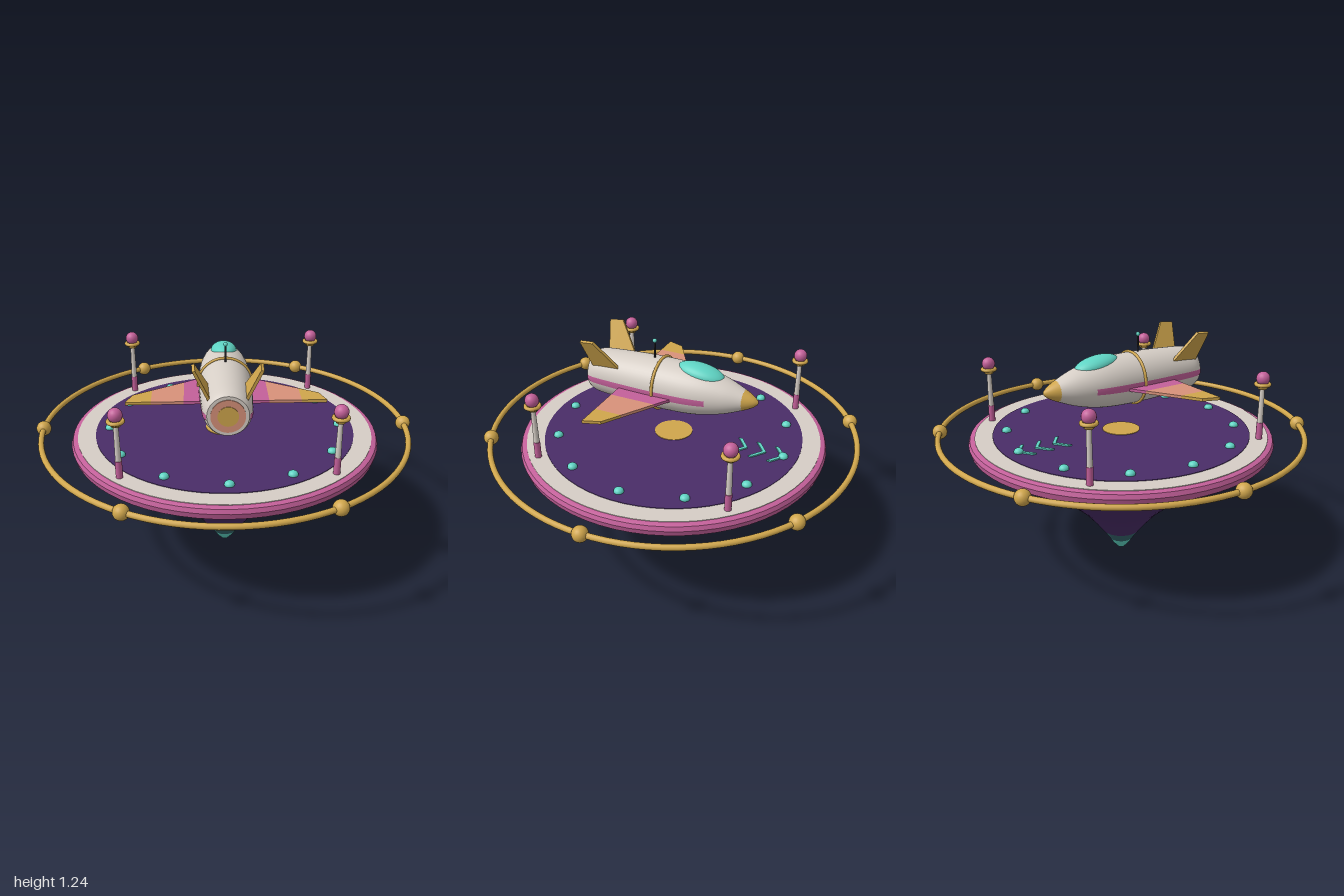
import * as THREE from 'three';
import { toCreasedNormals } from 'three/addons/utils/BufferGeometryUtils.js';

const mat = (name, color, side = THREE.FrontSide) => {
  const m = new THREE.MeshStandardMaterial({ color, side });
  m.name = name;
  return m;
};

export function createModel() {
  const purple = mat('purple', 0x4a2d68);
  const cream = mat('cream', 0xd6cec6);
  const pink = mat('pink', 0xc4609a);
  const gold = mat('gold', 0xd0a64c);
  const peach = mat('peach', 0xd8927a);
  const teal = mat('teal', 0x5fd4c4);
  const darkTeal = mat('dark teal', 0x35646c);
  const dark = mat('dark grey', 0x2c2a32);

  const root = new THREE.Group();
  root.name = 'rocketPlatform';
  const add = (parent, name, geometry, material, x = 0, y = 0, z = 0) => {
    const mesh = new THREE.Mesh(geometry, material);
    mesh.name = name;
    mesh.position.set(x, y, z);
    parent.add(mesh);
    return mesh;
  };
  const group = (name) => {
    const g = new THREE.Group();
    g.name = name;
    root.add(g);
    return g;
  };
  const lathe = (pts, seg = 64, start = 0, len = Math.PI * 2) =>
    new THREE.LatheGeometry(pts.map(([r, y]) => new THREE.Vector2(r, y)), seg, start, len);
  const disc = (r, h) => new THREE.CylinderGeometry(r, r, h, 64);
  const ball = (r) => new THREE.SphereGeometry(r, 20, 14);
  const polygon = (pts) => new THREE.Shape(pts.map(([x, y]) => new THREE.Vector2(x, y)));
  const extrude = (pts, depth) =>
    new THREE.ExtrudeGeometry(polygon(pts), { depth, bevelEnabled: false }).translate(0, 0, -depth / 2);

  // Floating base: pointed tip, flared cone and rim
  const base = group('base');
  add(base, 'tip', lathe([[0, 0], [0.02, 0.012], [0.045, 0.04], [0.066, 0.072]]), teal);
  add(base, 'tipBand', lathe([[0.066, 0.072], [0.106, 0.128]]), darkTeal);
  add(base, 'cone', lathe([[0.106, 0.128], [0.155, 0.19], [0.22, 0.265], [0.3, 0.335], [0.39, 0.408],
    [0.47, 0.465], [0.56, 0.522], [0.66, 0.578], [0.75, 0.625]]), purple);
  add(base, 'rim', toCreasedNormals(lathe([[0.74, 0.623], [0.8, 0.66], [0.808, 0.69], [0.8, 0.712],
    [0.785, 0.718], [0, 0.718]]), 0.5), pink);

  // Deck layers and landing spot
  const deck = group('deck');
  add(deck, 'deckBorder', disc(0.775, 0.006), cream, 0, 0.718, 0);
  add(deck, 'deckFloor', disc(0.682, 0.006), purple, 0, 0.721, 0);
  add(deck, 'landingSpot', disc(0.1, 0.006), gold, 0, 0.724, 0);
  for (let i = 0; i < 12; i++) {
    const a = (i * Math.PI) / 6;
    add(deck, 'deckLight', ball(0.025).scale(1, 0.8, 1), teal, Math.sin(a) * 0.61, 0.728, Math.cos(a) * 0.61);
  }
  for (let i = 0; i < 3; i++) {
    const z = -0.62 + i * 0.1;
    const chevron = extrude([[0, z], [0.07, z + 0.053], [0.07, z + 0.073], [0, z + 0.02],
      [-0.07, z + 0.073], [-0.07, z + 0.053]], 0.009);
    add(deck, 'chevron', chevron.rotateX(Math.PI / 2), teal, 0, 0.727, 0);
  }

  // Outer ring with beads
  const ring = group('outerRing');
  add(ring, 'ringTube', new THREE.TorusGeometry(0.96, 0.015, 12, 96).rotateX(Math.PI / 2), gold, 0, 0.73, 0);
  for (let i = 0; i < 6; i++) {
    const a = (i * Math.PI) / 3;
    add(ring, 'ringBead', ball(0.039), gold, Math.cos(a) * 0.96, 0.73, Math.sin(a) * 0.96);
  }

  // Four lamp posts
  for (const x of [-0.515, 0.515]) {
    for (const z of [-0.515, 0.515]) {
      const post = group('lampPost');
      post.position.set(x, 0, z);
      add(post, 'postBase', new THREE.CylinderGeometry(0.017, 0.017, 0.09, 16), pink, 0, 0.765, 0);
      add(post, 'postPole', new THREE.CylinderGeometry(0.012, 0.015, 0.2, 16), cream, 0, 0.905, 0);
      add(post, 'lampCup', new THREE.CylinderGeometry(0.036, 0.022, 0.026, 24), gold, 0, 1.003, 0);
      add(post, 'lampCollar', new THREE.TorusGeometry(0.034, 0.01, 10, 28).rotateX(Math.PI / 2), gold, 0, 1.014, 0);
      add(post, 'lampBall', ball(0.035), pink, 0, 1.045, 0);
    }
  }

  // Rocket, nose toward -z; the lathe axis is turned to lie along z
  const rocket = group('rocket');
  rocket.position.y = 1.0;
  const outline = new THREE.SplineCurve([[0.1, -0.452], [0.117, -0.41], [0.126, -0.3], [0.133, -0.15],
    [0.134, -0.03], [0.129, 0.1], [0.115, 0.2], [0.088, 0.3], [0.053, 0.388]]
    .map(([r, y]) => new THREE.Vector2(r, y))).getPoints(48).map((p) => [p.x, p.y]);
  const alongZ = (geometry) => geometry.rotateX(-Math.PI / 2);
  add(rocket, 'fuselage', alongZ(lathe(outline, 48)), cream);
  add(rocket, 'noseCone', alongZ(lathe([[0.054, 0.386], [0.041, 0.414], [0.027, 0.438], [0.013, 0.455], [0, 0.462]], 32)), gold);
  add(rocket, 'tailPlate', alongZ(disc(0.1, 0.006)), cream, 0, 0, 0.45);
  add(rocket, 'nozzleRing', alongZ(disc(0.083, 0.008)), peach, 0, 0, 0.453);
  add(rocket, 'nozzleCore', alongZ(disc(0.05, 0.008)), gold, 0, 0, 0.456);
  add(rocket, 'bodyBand', new THREE.TorusGeometry(0.137, 0.008, 10, 48), gold, 0, 0, 0.062);

  // Side stripes hugging the body
  const stripe = outline.filter(([, y]) => y < 0.225).map(([r, y]) => [r + 0.003, y]);
  const rad = Math.PI / 180;
  for (const start of [85.5, 259]) {
    add(rocket, 'sideStripe', alongZ(lathe(stripe, 4, start * rad, 15.5 * rad)), pink);
  }

  // Canopy and antenna
  const canopy = add(rocket, 'canopy', new THREE.SphereGeometry(1, 32, 20).scale(0.068, 0.046, 0.127), teal, 0, 0.1, -0.152);
  canopy.rotation.x = -0.15;
  add(rocket, 'antennaRod', new THREE.CylinderGeometry(0.005, 0.005, 0.1, 8), dark, 0, 0.17, 0.105);
  add(rocket, 'antennaTip', ball(0.011), teal, 0, 0.226, 0.105);

  // Wings in three colour panels, and tilted tail fins
  const lead = (x) => -0.04 + ((x - 0.13) / 0.335) * 0.205;
  for (const s of [1, -1]) {
    const side = s > 0 ? 'left' : 'right';
    const panels = [
      ['WingRoot', pink, 0.09, 0.21, 0.21],
      ['WingMiddle', peach, 0.21, 0.37, 0.37],
      ['WingTip', gold, 0.37, 0.465, 0.495],
    ];
    for (const [name, material, x0, x1, x2] of panels) {
      const panel = extrude([[s * x0, lead(x0)], [s * x1, lead(x1)], [s * x2, 0.252], [s * x0, 0.252]], 0.015);
      add(rocket, side + name, panel.rotateX(Math.PI / 2), material, 0, -0.02, 0);
    }
    const fin = extrude([[0.415, -0.02], [0.445, 0.182], [0.37, 0.19], [0.255, 0.01], [0.255, -0.02]], 0.015);
    const mesh = add(rocket, side + 'TailFin', fin.rotateY(-Math.PI / 2), gold, s * 0.083, 0.055, 0);
    mesh.rotation.z = -s * 0.42;
  }

  return root;
}
